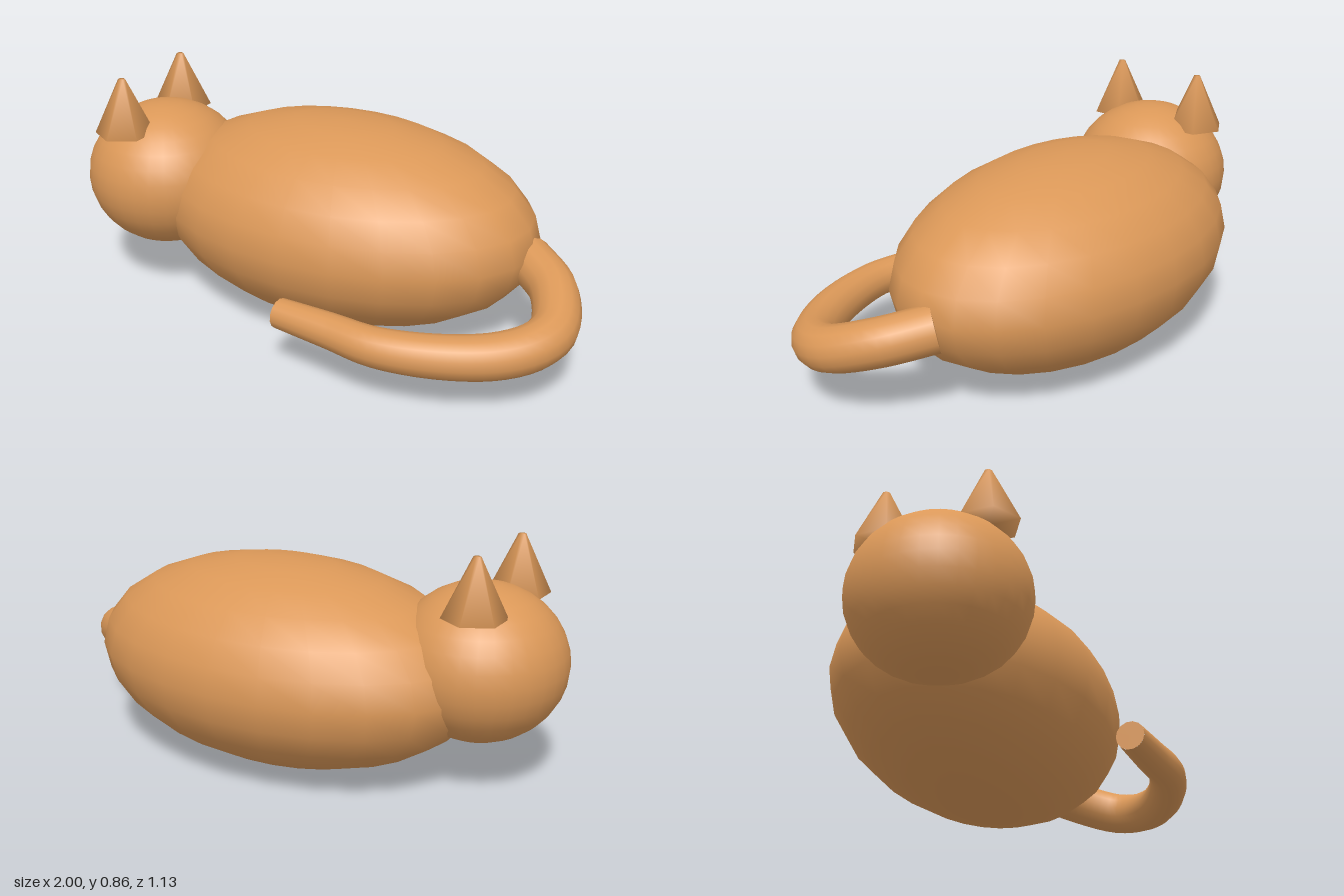
import * as THREE from 'three';
import { mergeVertices } from 'three/addons/utils/BufferGeometryUtils.js';

const fur = new THREE.MeshStandardMaterial({ color: 0xdb9858 });
fur.name = 'ginger fur';

function addPart(parent, name, geometry, position = [0, 0, 0], scale = [1, 1, 1]) {
  const mesh = new THREE.Mesh(geometry, fur);
  mesh.name = name;
  mesh.position.set(...position);
  mesh.scale.set(...scale);
  parent.add(mesh);
  return mesh;
}

// Six-sided ear whose soft normals run across its edges
function earGeometry() {
  const cone = new THREE.CylinderGeometry(0.013, 0.11, 0.205, 6);
  cone.deleteAttribute('normal');
  cone.deleteAttribute('uv');
  const soft = mergeVertices(cone);
  soft.computeVertexNormals();
  return soft;
}

// Tube that narrows along its path
function taperedTube(path, steps, sides, radiusAt) {
  const tube = new THREE.TubeGeometry(path, steps, 1, sides);
  const pos = tube.attributes.position;
  const v = new THREE.Vector3();
  for (let i = 0; i < pos.count; i++) {
    const t = Math.floor(i / (sides + 1)) / steps;
    const centre = path.getPointAt(t);
    v.fromBufferAttribute(pos, i).sub(centre).multiplyScalar(radiusAt(t)).add(centre);
    pos.setXYZ(i, v.x, v.y, v.z);
  }
  return tube;
}

export function createModel() {
  const model = new THREE.Group();
  model.name = 'curledCat';

  // Body and head
  addPart(model, 'body', new THREE.SphereGeometry(1, 24, 12), [0, 0.368, -0.085], [0.75, 0.368, 0.483]);
  addPart(model, 'head', new THREE.SphereGeometry(1, 32, 16), [-0.7, 0.446, 0.045], [0.3, 0.274, 0.305]);

  // Ears
  const ear = earGeometry();
  addPart(model, 'leftEar', ear, [-0.75, 0.7525, 0.228]);
  addPart(model, 'rightEar', ear, [-0.75, 0.7525, -0.132]);

  // Tail curling round to the front
  const tail = new THREE.Group();
  tail.name = 'tail';
  model.add(tail);
  const path = new THREE.CatmullRomCurve3([
    [0.71, 0.34, -0.12], [0.85, 0.305, 0.0], [0.915, 0.255, 0.16], [0.89, 0.235, 0.26],
    [0.8, 0.22, 0.355], [0.64, 0.216, 0.442], [0.43, 0.216, 0.492], [0.25, 0.218, 0.475], [0.045, 0.218, 0.455],
  ].map((p) => new THREE.Vector3(...p)));
  const radiusAt = (t) => 0.083 - 0.03 * t * t;
  addPart(tail, 'tailTube', taperedTube(path, 40, 14, radiusAt));

  // Flat tail ends
  for (const [t, dir] of [[0, -1], [1, 1]]) {
    const cap = addPart(tail, t ? 'tailTip' : 'tailRoot', new THREE.CircleGeometry(radiusAt(t), 14), path.getPointAt(t).toArray());
    cap.quaternion.setFromUnitVectors(new THREE.Vector3(0, 0, 1), path.getTangentAt(t).multiplyScalar(dir));
  }
  return model;
}
